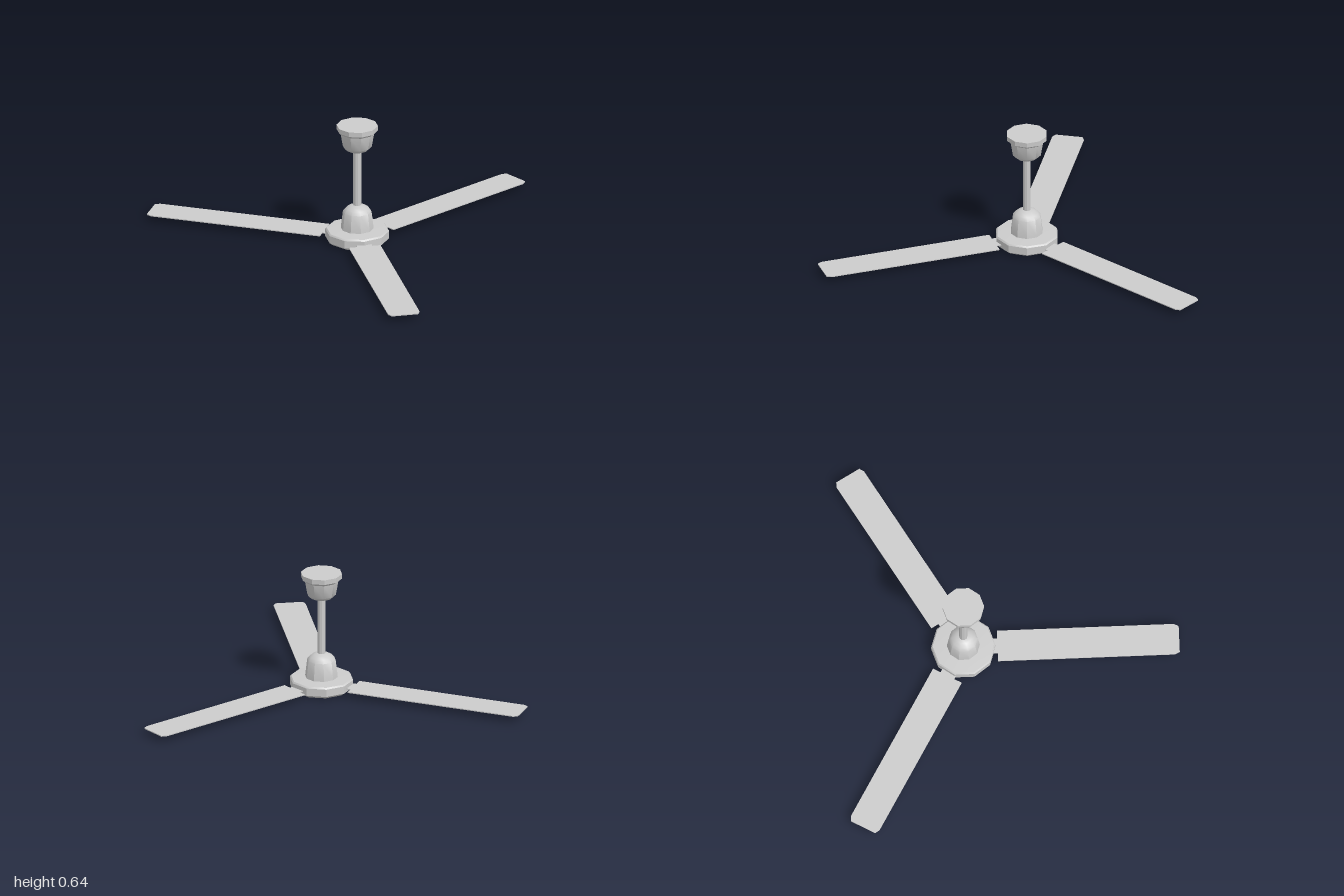
import * as THREE from 'three';
import { toCreasedNormals } from 'three/addons/utils/BufferGeometryUtils.js';

const SIDES = 10;
const CENTRE_Z = -0.249;

export function createModel() {
  const fan = new THREE.Group();
  fan.name = 'ceilingFan';
  const material = new THREE.MeshStandardMaterial({ color: 0xcccccc });

  // Faceted turned part from a [radius, height] profile, bottom to top
  const turned = (name, profile) => {
    const points = profile.map(([r, y]) => new THREE.Vector2(r, y));
    const geometry = toCreasedNormals(new THREE.LatheGeometry(points, SIDES), 0.6);
    const mesh = new THREE.Mesh(geometry, material);
    mesh.name = name;
    fan.add(mesh);
  };

  turned('motorHousing', [
    [0, 0], [0.138, 0], [0.146, 0.004], [0.165, 0.018], [0.165, 0.058], [0.158, 0.066], [0.08, 0.07], [0, 0.07],
  ]);
  turned('lowerCover', [
    [0, 0.06], [0.086, 0.06], [0.084, 0.08], [0.074, 0.163], [0.06, 0.18], [0.04, 0.193], [0.02, 0.199], [0, 0.199],
  ]);
  turned('downRod', [[0.021, 0.19], [0.021, 0.5]]);
  turned('ceilingCanopy', [
    [0, 0.491], [0.025, 0.493], [0.058, 0.507], [0.075, 0.524], [0.088, 0.6], [0.106, 0.614], [0.107, 0.64], [0, 0.64],
  ]);

  // Flat blade outline with a narrow neck and clipped tip corners
  const half = [
    [0.04, 0.12], [0.04, 0.176], [0.083, 0.176], [0.083, 1.085], [0.07, 1.11],
  ];
  const mirrored = half.map(([x, y]) => [-x, y]).reverse();
  const outline = new THREE.Shape([...half, ...mirrored].map(([x, y]) => new THREE.Vector2(x, y)));
  const bladeGeometry = new THREE.ExtrudeGeometry(outline, { depth: 0.005, bevelEnabled: false });
  bladeGeometry.rotateX(Math.PI / 2).translate(0, 0.037, 0);

  for (let i = 0; i < 3; i++) {
    const blade = new THREE.Mesh(bladeGeometry, material);
    blade.name = `blade${i + 1}`;
    blade.rotation.y = (i * Math.PI * 2) / 3;
    fan.add(blade);
  }

  fan.position.z = CENTRE_Z;
  const model = new THREE.Group();
  model.add(fan);
  return model;
}
